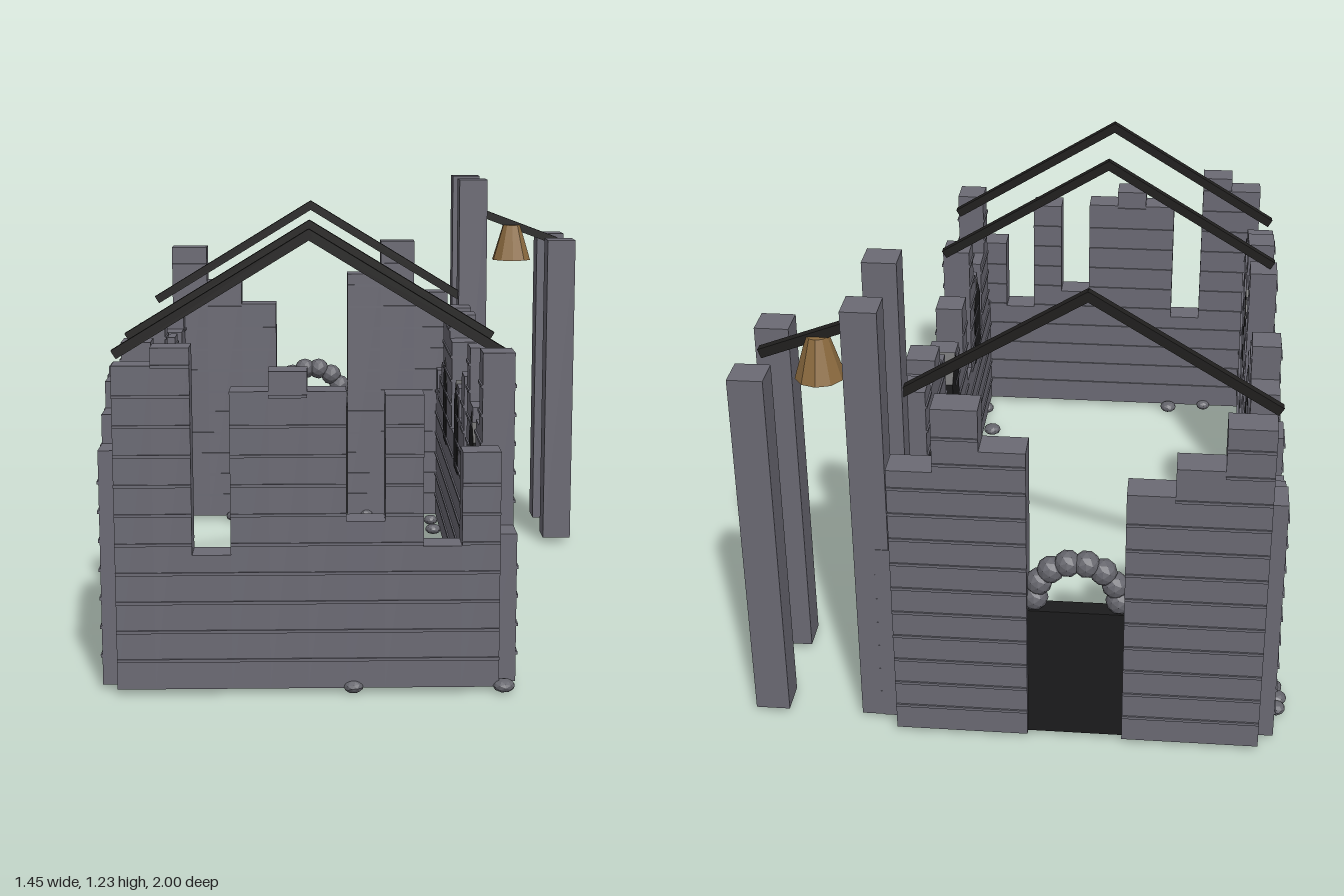
import * as THREE from 'three';

const mat = (name, color, flat = false) => {
  const m = new THREE.MeshStandardMaterial({ color, flatShading: flat });
  m.name = name;
  return m;
};

export function createModel() {
  const stone = mat('stone', 0x6b6a74);
  const rubble = mat('rubble stone', 0x64646b, true);
  const timber = mat('charred timber', 0x201f1e);
  const dark = mat('dark opening', 0x1c1c1d);
  const bronze = mat('bronze', 0x8c6b3f, true);

  const root = new THREE.Group();
  root.name = 'ruinedChapel';
  const BASE = 0.016, THICK = 0.083, COURSE = 0.0752;

  const add = (parent, name, geo, material, x, y, z) => {
    const m = new THREE.Mesh(geo, material);
    m.name = name;
    m.position.set(x, y, z);
    parent.add(m);
    return m;
  };
  const box = (parent, name, material, w, h, d, x, y, z) =>
    add(parent, name, new THREE.BoxGeometry(w, h, d), material, x, y, z);

  // Broken wall: a row of columns of differing height with thin raised courses
  function wall(name, heights, start, step, fixed, alongZ) {
    const g = new THREE.Group();
    g.name = name;
    const w = Math.abs(step);
    const piece = (label, h, depth, at, y) => alongZ
      ? box(g, label, stone, depth, h, w, fixed, y, at)
      : box(g, label, stone, w, h, depth, at, y, fixed);
    heights.forEach((top, i) => {
      if (!top) return;
      const at = start + step * (i + 0.5);
      piece('wallColumn', top - BASE, THICK, at, (top + BASE) / 2);
      for (let y = BASE + COURSE; y < top - 0.02; y += COURSE) piece('course', 0.008, THICK + 0.009, at, y);
    });
    root.add(g);
  }

  // Walls (zero height leaves a breach)
  wall('frontWall', [0.845, 0.89, 0.365, 0.78, 0.83, 0.78, 0.45, 0.77, 0.385, 0.625], -0.643, 0.0968, 0.931, false);
  wall('backWallRight', [0.98, 0.86, 0.78], -0.643, 0.121, -0.96, false);
  wall('backWallLeft', [0.885, 1.0, 0.82], -0.028, 0.1178, -0.96, false);
  wall('leftWall', [0.405, 0.855, 0.65, 0.42, 0.665, 0.815, 0.405, 0.705, 0.55, 0.64,
    0.41, 0.465, 0.74, 0.815, 0.77, 0.815, 0.6, 0.55, 0.485, 0.55], 0.931, -0.0942, 0.33, true);
  wall('rightWall', [0.625, 0.7, 0.77, 0.795, 0.55, 0.6, 0.82, 0, 0, 0.55,
    0.73, 0.805, 0.7, 0.62, 0.55, 0.72, 0.6, 0.66, 0.7, 0.74], 0.931, -0.0942, -0.643, true);

  // Pointed windows passing through both side walls
  const arch = new THREE.Shape([[-0.069, 0.37], [0.069, 0.37], [0.069, 0.575], [0, 0.65], [-0.069, 0.575]]
    .map(([x, y]) => new THREE.Vector2(x, y)));
  const depth = THICK + 0.004;
  const windowGeo = new THREE.ExtrudeGeometry(arch, { depth, bevelEnabled: false });
  windowGeo.translate(0, 0, -depth / 2).rotateY(Math.PI / 2);
  for (const x of [0.33, -0.643])
    for (const z of [0.53, -0.01, -0.48]) add(root, 'window', windowGeo, dark, x, 0, z);

  // Back door and its arch of round stones
  box(root, 'door', dark, 0.252, 0.39, 0.05, -0.154, BASE + 0.195, -0.96);
  const archStone = new THREE.IcosahedronGeometry(0.036, 1);
  for (let i = 0; i < 8; i++) {
    const a = (i / 7) * Math.PI;
    add(root, 'archStone', archStone, rubble, -0.155 + 0.11 * Math.cos(a), 0.435 + 0.11 * Math.sin(a), -0.96);
  }

  // Bar between two points in a plane of constant z
  function beam(name, x1, y1, x2, y2, z) {
    const m = box(root, name, timber, Math.hypot(x2 - x1, y2 - y1), 0.026, 0.025, (x1 + x2) / 2, (y1 + y2) / 2, z);
    m.rotation.z = Math.atan2(y2 - y1, x2 - x1);
  }

  // Bare roof rafters
  for (const z of [-0.62, 0.325, 0.665])
    for (const s of [-1, 1]) beam('rafter', -0.155 + s * 0.515, 0.83, -0.155 - s * 0.006, 1.148, z);

  // Bell tower: four posts, a sloping beam and the bell
  for (const z of [-0.905, -0.61])
    for (const [x, top] of [[0.383, 1.23], [0.678, 1.03]])
      box(root, 'towerPost', stone, 0.092, top - BASE, 0.092, x, (top + BASE) / 2, z);
  beam('bellBeam', 0.38, 1.127, 0.684, 1.013, -0.757);
  add(root, 'bell', new THREE.CylinderGeometry(0.03, 0.066, 0.118, 10), bronze, 0.531, 1.009, -0.757);

  // Fallen stones around the walls: x, z
  const fallen = [[-0.44, -0.9], [-0.695, -0.835], [-0.697, -0.79], [-0.69, -0.74], [-0.61, -0.69],
    [-0.58, -0.385], [-0.58, -0.225], [-0.572, 0.05], [0.265, -0.825], [0.265, -0.69], [0.37, -0.54],
    [0.39, 0.02], [0.258, 0.645], [0.295, 0.8], [-0.355, 0.865], [-0.48, 0.89], [-0.045, 0.965],
    [0.338, 0.967], [0.04, -0.93]];
  const fallenGeo = new THREE.IcosahedronGeometry(0.029, 1);
  fallen.forEach(([x, z], i) => {
    const r = 0.8 + 0.2 * ((i * 7) % 5) / 4;
    const m = add(root, 'fallenStone', fallenGeo, rubble, x, 0.018, z);
    m.scale.set(r, 0.6, r);
    m.rotation.y = i * 1.3;
  });

  return root;
}
